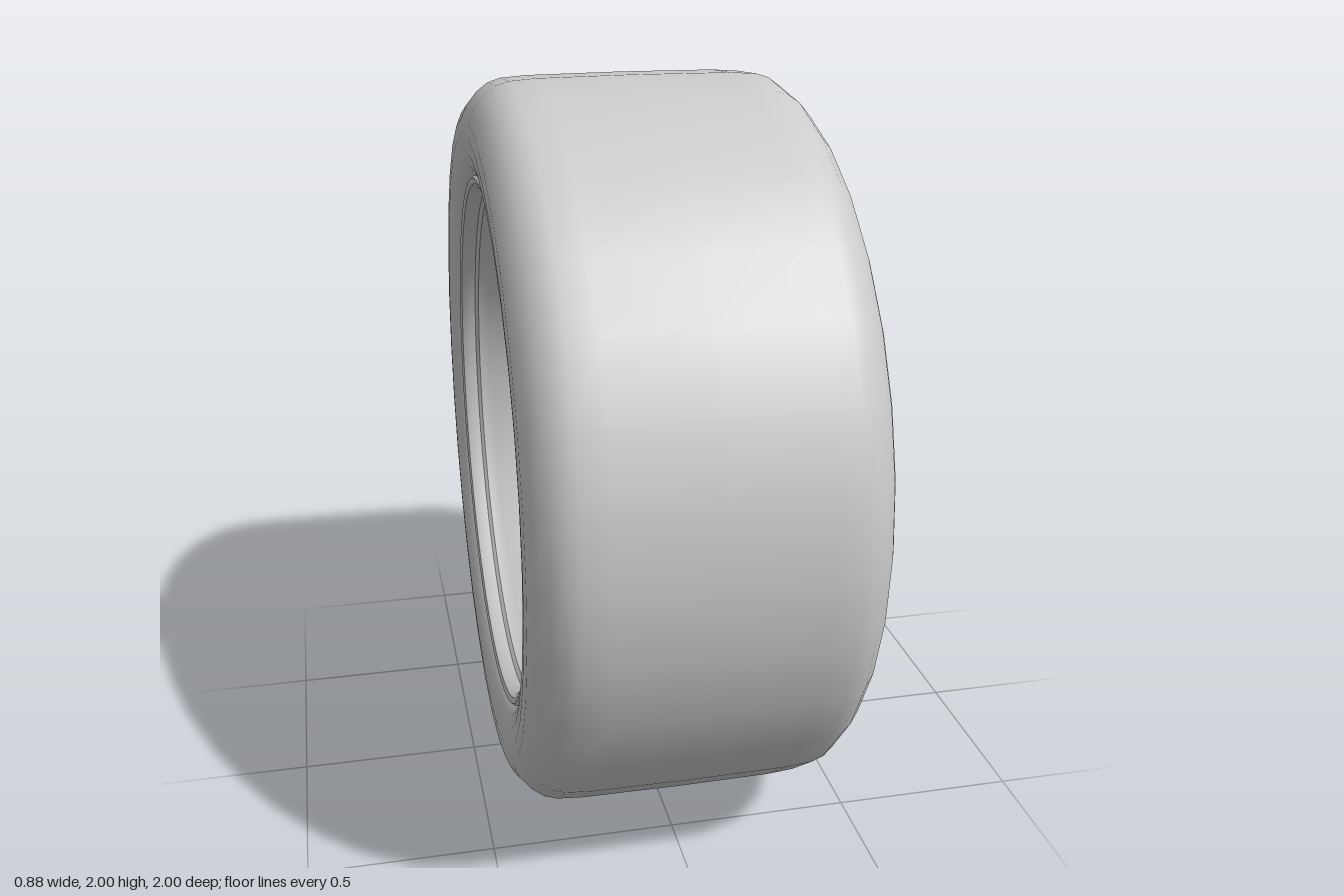
import * as THREE from 'three';
import { toCreasedNormals } from 'three/addons/utils/BufferGeometryUtils.js';

const material = new THREE.MeshStandardMaterial({ color: 0xcccccc, side: THREE.DoubleSide });
const V = (x, y) => new THREE.Vector2(x, y);

export function createModel() {
  const wheel = new THREE.Group();
  wheel.name = 'wheel';

  const add = (name, geometry, crease = 0.6) => {
    const mesh = new THREE.Mesh(crease ? toCreasedNormals(geometry, crease) : geometry, material);
    mesh.name = name;
    wheel.add(mesh);
    return mesh;
  };
  // Profile of [axial x, radius] pairs turned around the axle
  const turned = (name, profile, sides, crease) =>
    add(name, new THREE.LatheGeometry(profile.map(([x, r]) => V(r, x)), sides).rotateZ(-Math.PI / 2), crease);
  // Flat outline spanning x0..x1 along the axle, edges chamfered inward
  const plate = (name, shape, x0, x1, bevel = 0.006) => {
    const g = new THREE.ExtrudeGeometry(shape, {
      depth: x1 - x0 - 2 * bevel, curveSegments: 32, bevelEnabled: bevel > 0,
      bevelSize: bevel, bevelThickness: bevel, bevelOffset: -bevel, bevelSegments: 1,
    });
    return add(name, g.translate(0, 0, x0 + bevel).rotateY(Math.PI / 2), 0.5);
  };
  const circle = (r, cx = 0, cy = 0, Type = THREE.Path) => new Type().absarc(cx, cy, r, 0, Math.PI * 2, false);

  // Tyre: flat tread, rounded shoulders, bead tucked against the rim
  const half = [[0.34, 0.72], [0.4, 0.735], [0.425, 0.76], [0.437, 0.8], [0.442, 0.85], [0.44, 0.89],
    [0.425, 0.925], [0.395, 0.96], [0.365, 0.982], [0.33, 0.993], [0.26, 0.998]];
  const tyre = [...half.map(([x, r]) => [-x, r]), [0, 1], ...half.slice().reverse()];
  turned('tyre', tyre, 32, 1.2);

  // Rim barrel: stepped lips with a narrower front barrel and a wider rear one
  turned('rimBarrel', [
    [0.36, 0.735], [0.412, 0.738], [0.42, 0.73], [0.415, 0.715], [0.4, 0.705], [0.365, 0.7],
    [0.355, 0.69], [0.32, 0.685], [0.29, 0.66], [0.25, 0.645], [0.23, 0.632], [-0.02, 0.62],
    [-0.1, 0.62], [-0.12, 0.6], [-0.13, 0.6], [-0.13, 0.65], [-0.3, 0.67], [-0.33, 0.69],
    [-0.365, 0.695], [-0.375, 0.705], [-0.4, 0.708], [-0.415, 0.715], [-0.42, 0.73], [-0.412, 0.738], [-0.36, 0.735],
  ], 72, 0.5);

  // Rounded, tapering window between two spokes
  const spokeCount = 20;
  const windowPath = (angle, r0, r1, w0, w1) => {
    const points = [];
    const c = Math.cos(angle), s = Math.sin(angle);
    const put = (a, b) => points.push(V(a * c - b * s, a * s + b * c));
    const corner = (a, b, radius, from, to, steps) => {
      for (let i = 0; i <= steps; i++) {
        const t = from + (to - from) * i / steps;
        put(a + radius * Math.cos(t), b + radius * Math.sin(t));
      }
    };
    const q = Math.PI / 2, k = 0.03;
    corner(r0 + w0 / 2, 0, w0 / 2, q, 3 * q, 8);
    corner(r1 - k, -w1 / 2 + k, k, -q, 0, 4);
    corner(r1 - k, w1 / 2 - k, k, 0, q, 4);
    return new THREE.Path().setFromPoints(points);
  };
  const spokeShape = (inner, outer, ...size) => {
    const shape = circle(outer, 0, 0, THREE.Shape);
    shape.holes.push(circle(inner));
    for (let i = 0; i < spokeCount; i++) {
      shape.holes.push(windowPath((i + 0.5) * Math.PI * 2 / spokeCount, ...size));
    }
    return shape;
  };
  plate('spokeFaces', spokeShape(0.265, 0.56, 0.285, 0.535, 0.052, 0.136), -0.075, -0.02, 0.008);
  plate('spokeLedges', spokeShape(0.27, 0.61, 0.3, 0.525, 0.045, 0.115), -0.09, -0.055, 0.006);
  plate('spokeBacks', spokeShape(0.27, 0.615, 0.345, 0.512, 0.06, 0.1), -0.14, -0.085, 0.008);

  // Bolted outer ring
  const ring = circle(0.622, 0, 0, THREE.Shape);
  ring.holes.push(circle(0.548));
  plate('boltRing', ring, -0.07, -0.014);
  const boltCount = 40;
  for (let i = 0; i < boltCount; i++) {
    const a = i * Math.PI * 2 / boltCount;
    const bolt = new THREE.CylinderGeometry(0.016, 0.021, 0.026, 8).rotateZ(-Math.PI / 2);
    add('ringBolt', bolt, 0.5).position.set(-0.004, 0.585 * Math.cos(a), 0.585 * Math.sin(a));
  }

  // Dished hub joining the spokes to the mounting column
  turned('hubFlare', [[-0.21, 0.2], [-0.165, 0.235], [-0.135, 0.34], [-0.12, 0.345],
    [-0.035, 0.288], [-0.028, 0.272], [-0.055, 0.25], [-0.078, 0.2]], 60, 0.5);

  const lugs = Array.from({ length: 5 }, (_, i) => {
    const a = -Math.PI / 2 + i * Math.PI * 2 / 5;
    return [0.19 * Math.cos(a), 0.19 * Math.sin(a)];
  });

  // Mounting column with five lobes around the stud holes
  const outline = [];
  for (let i = 0; i < 80; i++) {
    const a = i * Math.PI * 2 / 80;
    const r = 0.218 + 0.022 * Math.cos(5 * (a + Math.PI / 2));
    outline.push(V(r * Math.cos(a), r * Math.sin(a)));
  }
  const column = new THREE.Shape(outline);
  column.holes.push(circle(0.1), ...lugs.map(([x, y]) => circle(0.022, x, y)));
  plate('mountingColumn', column, -0.26, -0.09);

  // Front hub face with counterbored stud seats
  const face = circle(0.252, 0, 0, THREE.Shape);
  face.holes.push(circle(0.09), ...lugs.map(([x, y]) => circle(0.036, x, y)));
  plate('hubFace', face, -0.1, -0.06, 0.004);
  for (const [x, y] of lugs) {
    const seat = new THREE.TorusGeometry(0.04, 0.007, 8, 24).rotateY(Math.PI / 2);
    add('studSeat', seat, 0).position.set(-0.06, y, -x);
  }

  // Centre cap
  turned('centreCap', [[-0.12, 0], [-0.12, 0.1], [-0.065, 0.112], [-0.03, 0.106], [-0.015, 0.096],
    [-0.012, 0.085], [-0.009, 0.05], [-0.008, 0]], 40, 0.5);

  wheel.position.y = 1;
  const model = new THREE.Group();
  model.name = 'wheelAssembly';
  model.add(wheel);
  return model;
}
